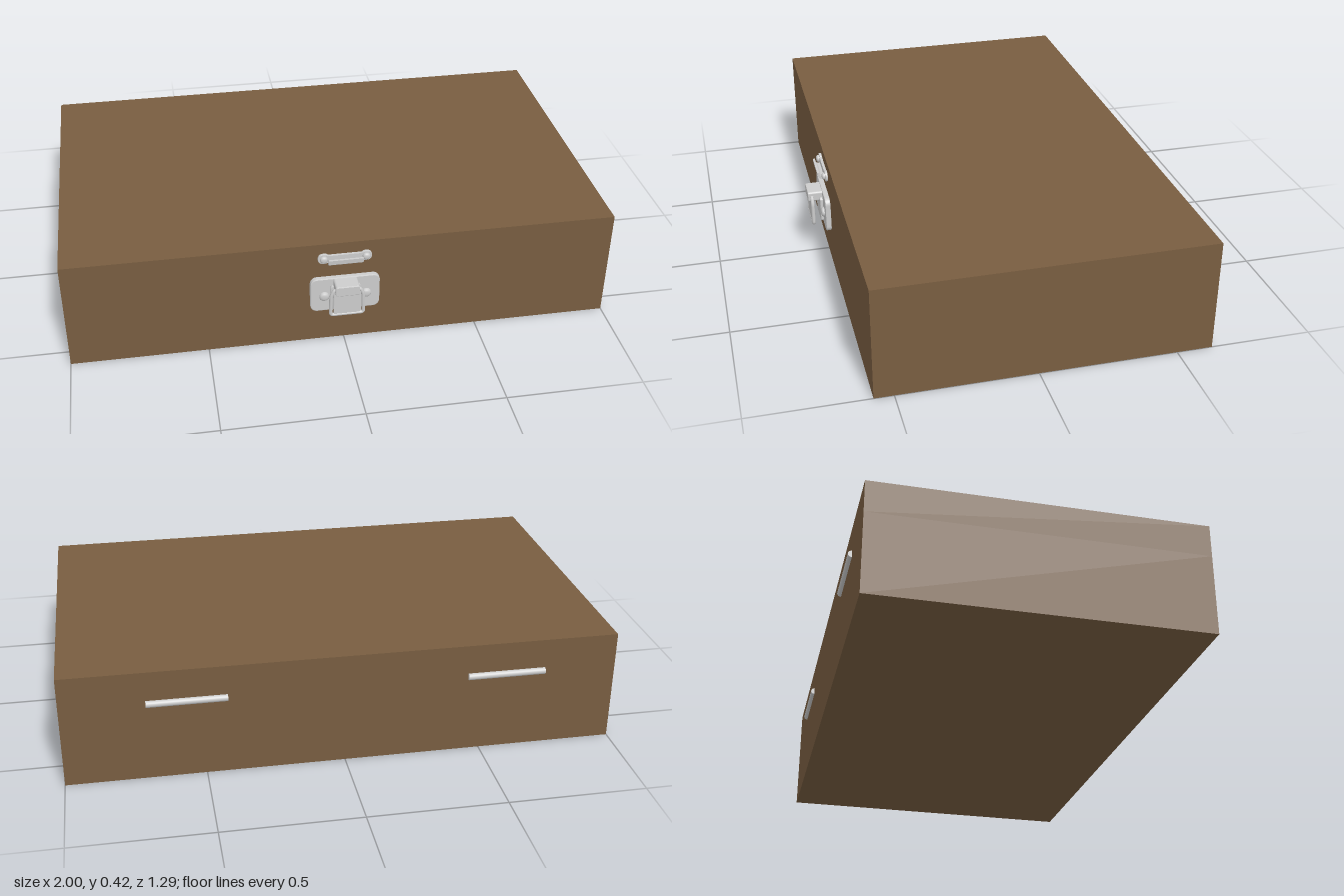
import * as THREE from 'three';

const wood = new THREE.MeshStandardMaterial({ color: 0x785d40 });
wood.name = 'brown wood';
const metal = new THREE.MeshStandardMaterial({ color: 0xcccccc });
metal.name = 'pale metal';

const FRONT = 0.57, BACK = -0.63, SEAM = 0.3, TOP = 0.42;

function add(parent, name, geometry, material, x = 0, y = 0, z = 0) {
  const mesh = new THREE.Mesh(geometry, material);
  mesh.name = name;
  mesh.position.set(x, y, z);
  parent.add(mesh);
  return mesh;
}

// Rounded rectangle centred on the origin
function roundedRect(w, h, r, target = new THREE.Shape()) {
  const x = w / 2, y = h / 2;
  target.moveTo(-x + r, -y);
  target.lineTo(x - r, -y);
  target.absarc(x - r, -y + r, r, -Math.PI / 2, 0);
  target.lineTo(x, y - r);
  target.absarc(x - r, y - r, r, 0, Math.PI / 2);
  target.lineTo(-x + r, y);
  target.absarc(-x + r, y - r, r, Math.PI / 2, Math.PI);
  target.lineTo(-x, -y + r);
  target.absarc(-x + r, -y + r, r, Math.PI, Math.PI * 1.5);
  return target;
}

// Plate extruded forwards, with a small bevel kept inside its outline
function plate(shape, depth, bevel = 0.003) {
  const g = new THREE.ExtrudeGeometry(shape, {
    depth: depth - 2 * bevel, bevelThickness: bevel, bevelSize: bevel,
    bevelOffset: -bevel, bevelSegments: 2, curveSegments: 8
  });
  return g.translate(0, 0, bevel);
}

// Domed screw head facing +z
function screw(parent, x, y, z, r, h) {
  const profile = [[r, 0], [r, h * 0.5], [r * 0.8, h * 0.85], [r * 0.4, h], [0, h]]
    .map(p => new THREE.Vector2(...p));
  add(parent, 'screwHead', new THREE.LatheGeometry(profile, 20), metal, x, y, z).rotation.x = Math.PI / 2;
}

export function createModel() {
  const model = new THREE.Group();
  model.name = 'hingedBox';

  // Wooden base and lid
  const depth = FRONT - BACK, midZ = (FRONT + BACK) / 2;
  add(model, 'base', new THREE.BoxGeometry(2, SEAM, depth), wood, 0, SEAM / 2, midZ);
  add(model, 'lid', new THREE.BoxGeometry(2, TOP - SEAM, depth), wood, 0, (SEAM + TOP) / 2, midZ);

  // Hinge barrels along the back seam
  for (const x of [-0.59, 0.56]) {
    add(model, 'hingeBarrel', new THREE.CylinderGeometry(0.0125, 0.0125, 0.285, 20), metal, x, 0.298, BACK - 0.002)
      .rotation.z = Math.PI / 2;
  }

  // Latch on the base
  const latch = new THREE.Group();
  latch.name = 'latch';
  model.add(latch);
  add(latch, 'latchPlate', plate(roundedRect(0.254, 0.14, 0.025), 0.02), metal, 0, 0.212, FRONT);
  for (const x of [-0.077, 0.077]) screw(latch, x, 0.208, FRONT + 0.019, 0.018, 0.013);
  add(latch, 'leverBracket', plate(roundedRect(0.11, 0.1, 0.01), 0.012), metal, 0, 0.205, FRONT + 0.019);
  add(latch, 'leverArm', plate(roundedRect(0.088, 0.04, 0.008), 0.058), metal, 0, 0.259, FRONT + 0.017);
  add(latch, 'lever', plate(roundedRect(0.1, 0.1, 0.012), 0.008, 0.002), metal, 0, 0.203, 0.627);

  // Wire frame around the lever, tapering towards the top
  const path = new THREE.CurvePath();
  const corners = [[-0.06, 0.152], [0.06, 0.152], [0.058, 0.235], [0.046, 0.26], [-0.046, 0.26], [-0.058, 0.235]]
    .map(([x, y]) => new THREE.Vector3(x, y, 0.63));
  corners.forEach((p, i) => {
    const next = corners[(i + 1) % corners.length], after = corners[(i + 2) % corners.length];
    const before = next.clone().lerp(p, 0.01 / next.distanceTo(p));
    const start = p.clone().lerp(next, 0.01 / next.distanceTo(p));
    const end = next.clone().lerp(after, 0.01 / next.distanceTo(after));
    path.add(new THREE.LineCurve3(start, before));
    path.add(new THREE.QuadraticBezierCurve3(before, next, end));
  });
  add(latch, 'wireLoop', new THREE.TubeGeometry(path, 120, 0.007, 10, true), metal);

  // Catch on the lid
  const lidCatch = new THREE.Group();
  lidCatch.name = 'lidCatch';
  model.add(lidCatch);
  for (const x of [-0.077, 0.077]) {
    add(lidCatch, 'catchEar', plate(roundedRect(0.042, 0.04, 0.018), 0.01, 0.002), metal, x, 0.362, FRONT);
    screw(lidCatch, x, 0.362, FRONT + 0.009, 0.014, 0.012);
  }
  add(lidCatch, 'catchPlate', new THREE.BoxGeometry(0.15, 0.03, 0.01), metal, 0, 0.36, FRONT + 0.005);

  // Hooked lip: side profile extruded along x
  const hook = new THREE.Shape([[0, 0.344], [0.024, 0.344], [0.034, 0.352], [0.036, 0.37],
    [0.028, 0.37], [0.026, 0.357], [0.02, 0.352], [0, 0.352]].map(p => new THREE.Vector2(...p)));
  const hookGeometry = new THREE.ExtrudeGeometry(hook, { depth: 0.125, bevelEnabled: false });
  add(lidCatch, 'catchHook', hookGeometry.translate(0, 0, -0.0625).rotateY(-Math.PI / 2), metal, 0, 0, FRONT);

  return model;
}
